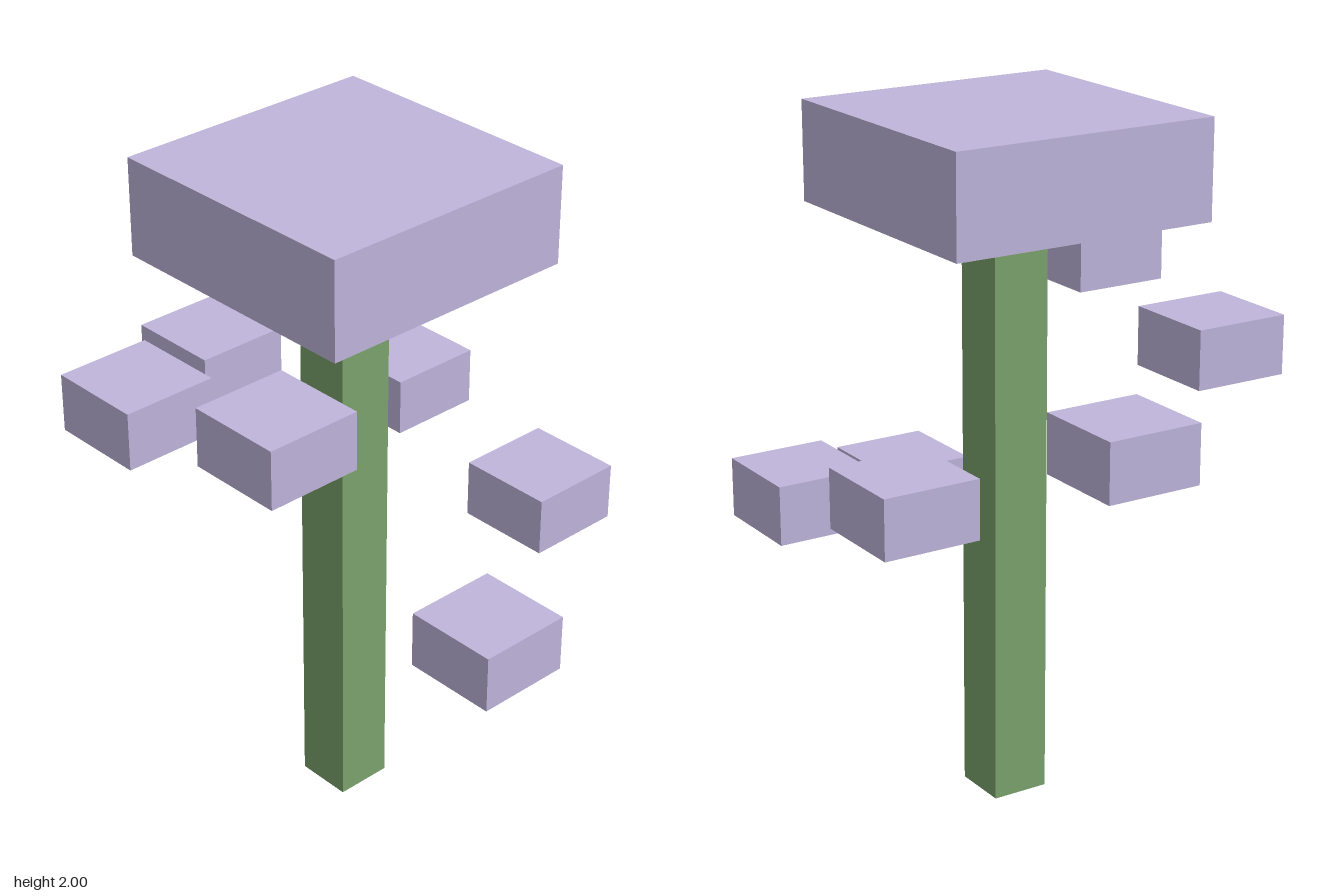
import * as THREE from 'three';

export function createModel() {
  const group = new THREE.Group();
  const petalMat = new THREE.MeshStandardMaterial({ color: 0xbfb5dc, flatShading: true });
  const stemMat = new THREE.MeshStandardMaterial({ color: 0x7aa36c, flatShading: true });

  // Box placed by its centre
  function addBox(name, material, width, height, x, y, z) {
    const mesh = new THREE.Mesh(new THREE.BoxGeometry(width, height, width), material);
    mesh.name = name;
    mesh.position.set(x, y, z);
    group.add(mesh);
  }

  // Square stem and the wide block on top of it
  const capHeight = 0.285;
  const stemHeight = 2 - capHeight;
  addBox('stem', stemMat, 0.17, stemHeight, 0, stemHeight / 2, 0);
  addBox('topBlossom', petalMat, 0.8, capHeight, 0, 2 - capHeight / 2, 0);

  // Six floating blocks spiralling down around the stem, 60 degrees apart
  const radius = 0.571;
  for (let i = 0; i < 6; i++) {
    const angle = ((i + 1) * Math.PI) / 3;
    addBox(`floatingBlossom${i + 1}`, petalMat, 0.286, 0.171,
      radius * Math.cos(angle), 1.486 - i * 0.143, radius * Math.sin(angle));
  }

  return group;
}
